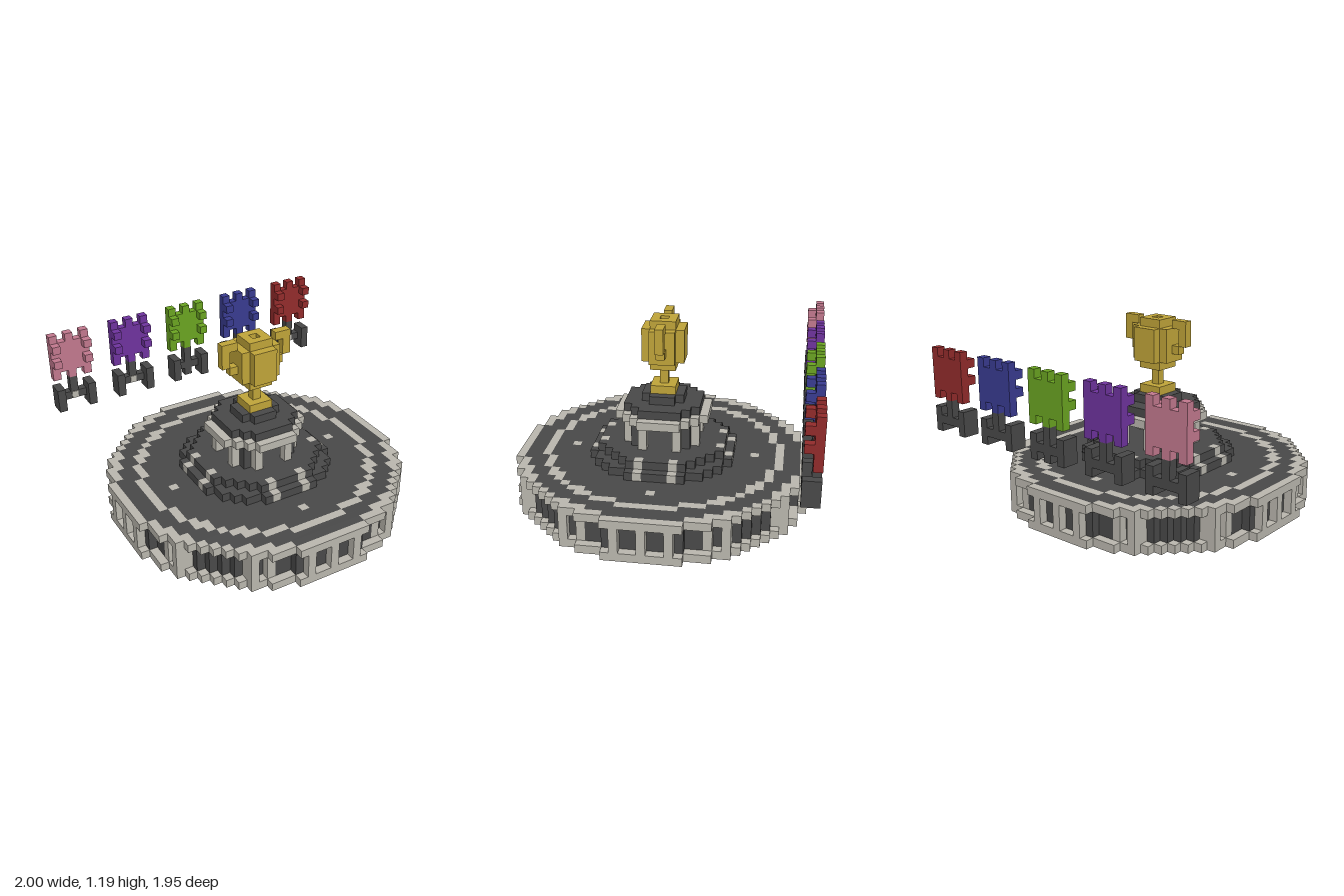
import * as THREE from 'three';
import { mergeGeometries } from 'three/addons/utils/BufferGeometryUtils.js';

const U = 2 / 37; // size of one block

function material(name, color) {
  const m = new THREE.MeshStandardMaterial({ color });
  m.name = name;
  return m;
}

// Box of blocks covering whole cells i0..i1, j0..j1, k0..k1
function block(i0, i1, j0, j1, k0, k1) {
  const g = new THREE.BoxGeometry((i1 - i0 + 1) * U, (j1 - j0 + 1) * U, (k1 - k0 + 1) * U);
  return g.translate((i0 + i1) / 2 * U, ((j0 + j1) / 2 + 0.5) * U, ((k0 + k1) / 2 + 0.5) * U);
}

// Fills layers j0..j1 with every cell passing the test, joined into runs along x
function layer(j0, j1, test, R = 18) {
  const out = [];
  for (let k = -R; k <= R; k++) {
    let start = null;
    for (let i = -R; i <= R + 1; i++) {
      const on = i <= R && test(i, k);
      if (on && start === null) start = i;
      if (!on && start !== null) {
        out.push(block(start, i - 1, j0, j1, k, k));
        start = null;
      }
    }
  }
  return out;
}

const disc = r => (i, k) => i * i + k * k <= r * r;
const ring = (a, b) => (i, k) => i * i + k * k > a * a && i * i + k * k <= b * b;

export function createModel() {
  const stone = material('pale stone', 0xbcb9b0);
  const dark = material('dark stone', 0x4a4a4a);
  const gold = material('gold', 0xc2a63a);
  const pink = material('pink', 0xc47a90);
  const purple = material('purple', 0x7034a0);
  const green = material('green', 0x6ca622);
  const blue = material('blue', 0x3a3c92);
  const red = material('red', 0x942c2c);

  const model = new THREE.Group();
  const add = (name, mat, geos, parent = model) => {
    const mesh = new THREE.Mesh(mergeGeometries(geos), mat);
    mesh.name = name;
    parent.add(mesh);
  };

  // Round base: dark core, pale rims and posts, inlaid floor
  const rim = ring(16.5, 17.5);
  const inlay = (i, k) => rim(i, k) || ring(13.5, 14.5)(i, k)
    || (Math.abs(i) === 11 && k === 0) || (Math.abs(k) === 11 && i === 0);
  const isPost = (i, k) => {
    const a = Math.min(Math.abs(i), Math.abs(k)), b = Math.max(Math.abs(i), Math.abs(k));
    return rim(i, k) && (a === 0 || a === 3 || a === 9 || (a === 7 && b === 15));
  };
  add('baseCore', dark, layer(0, 3, disc(16.5)));
  add('lowerRim', stone, layer(0, 0, rim));
  add('wallPosts', stone, layer(1, 3, isPost));
  add('floor', dark, layer(4, 4, (i, k) => disc(17.5)(i, k) && !inlay(i, k)));
  add('floorInlay', stone, layer(4, 4, inlay));

  // Two steps with pale trim blocks
  const trim = n => (i, k) => (Math.abs(i) === 2 && Math.abs(k) === n) || (Math.abs(k) === 2 && Math.abs(i) === n);
  [[5, 8.66, 8], [6, 7.66, 7]].forEach(([j, r, n]) => {
    add('step', dark, layer(j, j, (i, k) => disc(r)(i, k) && !trim(n)(i, k)));
    add('stepTrim', stone, layer(j, j, trim(n)));
  });

  // Pillars carrying the plinth
  add('palePillars', stone, layer(7, 9, trim(4)));
  add('darkPillars', dark, layer(7, 9, (i, k) => Math.abs(i) === 3 && Math.abs(k) === 3));
  add('plinthSlab', stone, layer(10, 10, disc(5.5)));
  add('plinthTop', dark, [...layer(11, 11, disc(4.5)), ...layer(12, 12, disc(2.5))]);

  // Trophy cup with two handles
  const cup = new THREE.Group();
  cup.name = 'trophy';
  model.add(cup);
  add('foot', gold, [block(-1, 1, 13, 13, -1, 1), block(0, 0, 14, 15, 0, 0)], cup);
  add('bowl', gold, [
    block(-1, 1, 16, 16, -1, 1),
    ...layer(17, 20, disc(2.5)),
    ...layer(21, 21, (i, k) => Math.max(Math.abs(i), Math.abs(k)) === 1),
  ], cup);
  for (const s of [-1, 1]) {
    const span = (a, b, j0, j1) => block(Math.min(s * a, s * b), Math.max(s * a, s * b), j0, j1, 0, 0);
    add('handle', gold, [span(4, 4, 19, 21), span(3, 3, 21, 21), span(3, 3, 18, 18)], cup);
  }

  // Row of floating banners on stands behind the base
  [pink, purple, green, blue, red].forEach((colour, n) => {
    const c = (n - 2) * 8;
    const banner = new THREE.Group();
    banner.name = 'banner';
    model.add(banner);
    const cloth = [block(c - 2, c + 2, 14, 17, -18, -18)];
    const stand = [block(c, c, 10, 12, -18, -18)];
    for (const d of [-2, 0, 2]) {
      cloth.push(block(c + d, c + d, 18, 18, -18, -18), block(c + d, c + d, 13, 13, -18, -18));
      if (d === 0) continue;
      for (const j of [15, 17]) cloth.push(block(c + d, c + d, j, j, -17, -17));
      stand.push(block(c + d, c + d, 9, 11, -18, -17), block(c + d / 2, c + d / 2, 10, 10, -18, -18));
    }
    if (c === 0) stand.push(block(0, 0, 9, 9, -18, -18));
    add('bannerCloth', colour, cloth, banner);
    add('bannerStand', dark, stand, banner);
    // Pale stud on the front of the stand
    if (c !== 0) {
      const stud = new THREE.BoxGeometry(U * 0.8, U * 0.9, 0.006);
      add('standStud', stone, [stud.translate(c * U, 10.5 * U, -17 * U + 0.003)], banner);
    }
  });

  return model;
}
